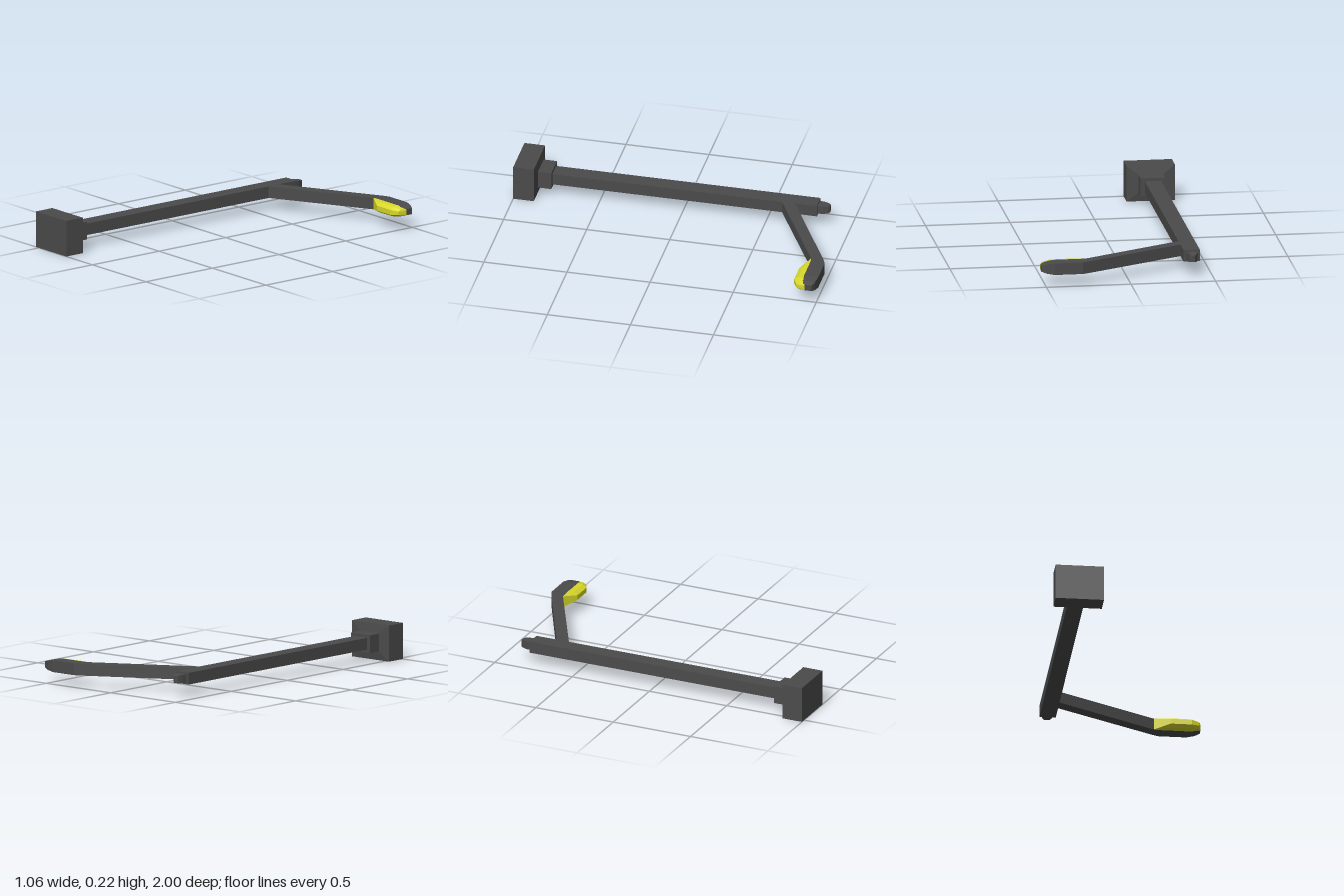
import * as THREE from 'three';

const dark = new THREE.MeshStandardMaterial({ color: 0x4b4b4b, flatShading: true });
const yellow = new THREE.MeshStandardMaterial({ color: 0xd8d82a, flatShading: true });

const MID_Y = 0.109; // height of the post's axis
const POST_X = -0.387;

// Skin a row of closed rings (anticlockwise seen from the last ring's end) and cap both ends.
function loft(rings) {
  const pos = [];
  const tri = (...pts) => pts.forEach((p) => pos.push(...p));
  const n = rings[0].length;
  for (let i = 0; i < rings.length - 1; i++) {
    for (let j = 0; j < n; j++) {
      const k = (j + 1) % n;
      const a = rings[i][j], b = rings[i][k], c = rings[i + 1][k], d = rings[i + 1][j];
      tri(a, b, c);
      tri(a, c, d);
    }
  }
  const first = rings[0], last = rings[rings.length - 1];
  for (let j = 1; j < n - 1; j++) {
    tri(first[0], first[j + 1], first[j]);
    tri(last[0], last[j], last[j + 1]);
  }
  const g = new THREE.BufferGeometry();
  g.setAttribute('position', new THREE.Float32BufferAttribute(pos, 3));
  g.computeVertexNormals();
  return g;
}

// Rectangular ring across z, centred on the post's axis
const postRing = ([z, hx, hy]) =>
  [[-1, -1], [1, -1], [1, 1], [-1, 1]].map(([sx, sy]) => [POST_X + sx * hx, MID_Y + sy * hy, z]);

// Rectangular ring across x
const armRing = ([x, h, z0, z1]) =>
  [[x, MID_Y - h, z0], [x, MID_Y + h, z0], [x, MID_Y + h, z1], [x, MID_Y - h, z1]];

// Six-sided ring across x: rim, shoulder and flat face of the lens
const lensRing = ([x, hRim, zRim, hMid, zMid, hFace, zFace]) => [
  [x, MID_Y - hRim, zRim], [x, MID_Y + hRim, zRim],
  [x, MID_Y + hMid, zMid], [x, MID_Y + hFace, zFace],
  [x, MID_Y - hFace, zFace], [x, MID_Y - hMid, zMid],
];

export function createModel() {
  const group = new THREE.Group();
  const add = (name, geometry, material = dark) => {
    const mesh = new THREE.Mesh(geometry, material);
    mesh.name = name;
    group.add(mesh);
    return mesh;
  };

  // Base block with a shallow sloped top
  add('base', loft([[0.868, 0.073, 0.053], [0.876, 0.1425, 0.1075], [1, 0.1425, 0.1075]].map(postRing)));
  add('collar', loft([[0.787, 0.073, 0.053], [0.87, 0.073, 0.053]].map(postRing)));
  add('post', loft([[-0.805, 0.048, 0.035], [0.79, 0.048, 0.035]].map(postRing)));

  // Rounded finial on the end of the post
  add('finial', loft([
    [-0.875, 0.011, 0.02], [-0.866, 0.019, 0.023], [-0.84, 0.028, 0.025], [-0.805, 0.032, 0.025],
  ].map(postRing)));

  // Slanted arm running on into the lamp housing
  add('armAndHousing', loft([
    [-0.34, 0.035, -0.675, -0.595],
    [0.25, 0.035, -0.985, -0.91],
    [0.285, 0.035, -1, -0.915],
    [0.45, 0.035, -1, -0.915],
    [0.495, 0.028, -0.992, -0.917],
    [0.527, 0.018, -0.978, -0.935],
  ].map(armRing)));

  // Faceted lens on the underside of the housing
  add('lens', loft([
    [0.25, 0.035, -0.912, 0.035, -0.911, 0.035, -0.91],
    [0.345, 0.035, -0.917, 0.031, -0.885, 0.015, -0.86],
    [0.47, 0.034, -0.917, 0.029, -0.885, 0.015, -0.86],
    [0.517, 0.022, -0.925, 0.02, -0.9, 0.01, -0.884],
    [0.527, 0.018, -0.937, 0.017, -0.932, 0.009, -0.928],
  ].map(lensRing)), yellow);

  return group;
}
